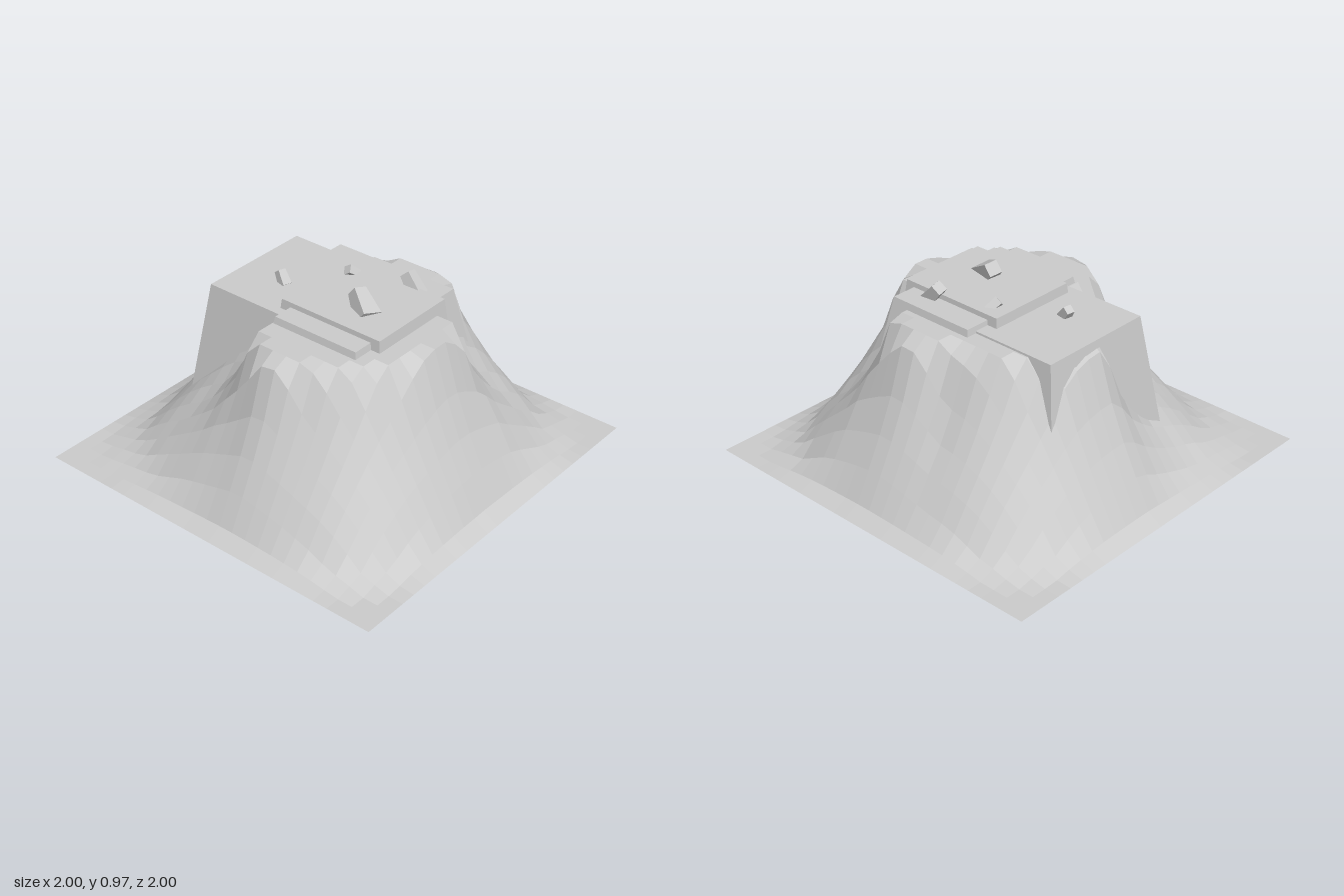
import * as THREE from 'three';

const stone = new THREE.MeshStandardMaterial({ color: 0xcccccc, flatShading: true, side: THREE.DoubleSide });
const earth = new THREE.MeshStandardMaterial({ color: 0xcccccc, side: THREE.DoubleSide });

// Plateau radius every 22.5 degrees, from +x towards +z
const RIM = [0.575, 0.53, 0.335, 0.49, 0.515, 0.51, 0.53, 0.53, 0.585, 0.5, 0.3, 0.385, 0.65, 0.67, 0.61, 0.52];
// Slope profile from the rim (0) to the foot of the hill (1)
const SLOPE = [[0, 1], [0.07, 0.91], [0.18, 0.72], [0.38, 0.48], [0.6, 0.26], [0.8, 0.06], [1, 0]];
const CENTER_Z = 0.08;
const TOP = 0.82;
const ROUNDING = 3.8;

function rimRadius(angle) {
  const t = ((angle / (Math.PI * 2) + 1) % 1) * RIM.length;
  const i = Math.floor(t) % RIM.length;
  return THREE.MathUtils.lerp(RIM[i], RIM[(i + 1) % RIM.length], t - Math.floor(t));
}

function slope(s) {
  if (s <= 0) return 1;
  for (let i = 1; i < SLOPE.length; i++) {
    const [a, ya] = SLOPE[i - 1], [b, yb] = SLOPE[i];
    if (s <= b) return THREE.MathUtils.lerp(ya, yb, (s - a) / (b - a));
  }
  return 0;
}

function groundHeight(x, z) {
  const dz = z - CENTER_Z;
  const r = Math.hypot(x, dz);
  // Foot of the hill: a rounded square reaching the middle of each ground edge
  const u = Math.abs(x), v = Math.abs(dz) / (dz > 0 ? 1 - CENTER_Z : 1 + CENTER_Z);
  const reach = (u ** ROUNDING + v ** ROUNDING) ** (1 / ROUNDING);
  const foot = r / Math.max(reach, 1e-6);
  const rim = rimRadius(Math.atan2(dz, x)) + 0.012;
  return TOP * slope((r - rim) / (foot - rim));
}

// Hill: a square grid raised to a flat top, one normal per square, open underneath
function makeHill() {
  const grid = new THREE.PlaneGeometry(2, 2, 25, 25).rotateX(-Math.PI / 2);
  const p = grid.attributes.position;
  for (let i = 0; i < p.count; i++) p.setY(i, groundHeight(p.getX(i), p.getZ(i)));
  const geo = grid.toNonIndexed();
  geo.computeVertexNormals();
  const n = geo.attributes.normal;
  const a = new THREE.Vector3(), b = new THREE.Vector3();
  for (let i = 0; i < n.count; i += 6) {
    a.fromBufferAttribute(n, i).add(b.fromBufferAttribute(n, i + 3)).normalize();
    for (let k = 0; k < 6; k++) n.setXYZ(i + k, a.x, a.y, a.z);
  }
  const mesh = new THREE.Mesh(geo, earth);
  mesh.name = 'hill';
  return mesh;
}

// Block with a smaller top than bottom; bounds are [x0, x1, z0, z1]
function taperedBlock(name, top, topY, bottom, bottomY) {
  const geo = new THREE.BoxGeometry(1, 1, 1);
  const p = geo.attributes.position;
  for (let i = 0; i < p.count; i++) {
    const up = p.getY(i) > 0;
    const b = up ? top : bottom;
    p.setXYZ(i, b[p.getX(i) > 0 ? 1 : 0], up ? topY : bottomY, b[p.getZ(i) > 0 ? 3 : 2]);
  }
  geo.computeVertexNormals();
  const mesh = new THREE.Mesh(geo, stone);
  mesh.name = name;
  return mesh;
}

// Leaning four-sided stone between two points
function rock(name, from, to, bottomWidth, topWidth, twist) {
  const a = new THREE.Vector3(...from), b = new THREE.Vector3(...to);
  const axis = b.clone().sub(a);
  const geo = new THREE.CylinderGeometry(topWidth * Math.SQRT1_2, bottomWidth * Math.SQRT1_2, axis.length(), 4);
  geo.rotateY(Math.PI / 4 + twist);
  const mesh = new THREE.Mesh(geo, stone);
  mesh.quaternion.setFromUnitVectors(new THREE.Vector3(0, 1, 0), axis.normalize());
  mesh.position.copy(a).add(b).multiplyScalar(0.5);
  mesh.name = name;
  return mesh;
}

export function createModel() {
  const model = new THREE.Group();
  model.name = 'rockyPlateau';
  model.add(makeHill());

  // Stone platforms set into the hill
  model.add(
    taperedBlock('backPlatform', [-0.28, 0.35, -0.575, -0.05], 0.83, [-0.37, 0.43, -0.665, 0.04], 0.2),
    taperedBlock('wideTier', [-0.335, 0.4, -0.11, 0.375], 0.855, [-0.43, 0.495, -0.175, 0.44], 0.45),
    taperedBlock('upperTier', [-0.225, 0.265, -0.165, 0.425], 0.88, [-0.26, 0.3, -0.2, 0.46], 0.55)
  );

  // Loose stones
  model.add(
    rock('largeStone', [-0.07, 0.855, 0.23], [-0.015, 0.938, 0.12], 0.1, 0.065, -0.2),
    rock('sideStone', [0.27, 0.835, 0.27], [0.285, 0.925, 0.185], 0.07, 0.055, 0.15),
    rock('smallStone', [0.205, 0.86, -0.055], [0.155, 0.902, -0.08], 0.04, 0.045, 0.3),
    rock('backStone', [-0.045, 0.82, -0.305], [-0.03, 0.88, -0.35], 0.05, 0.04, -0.2)
  );
  return model;
}
